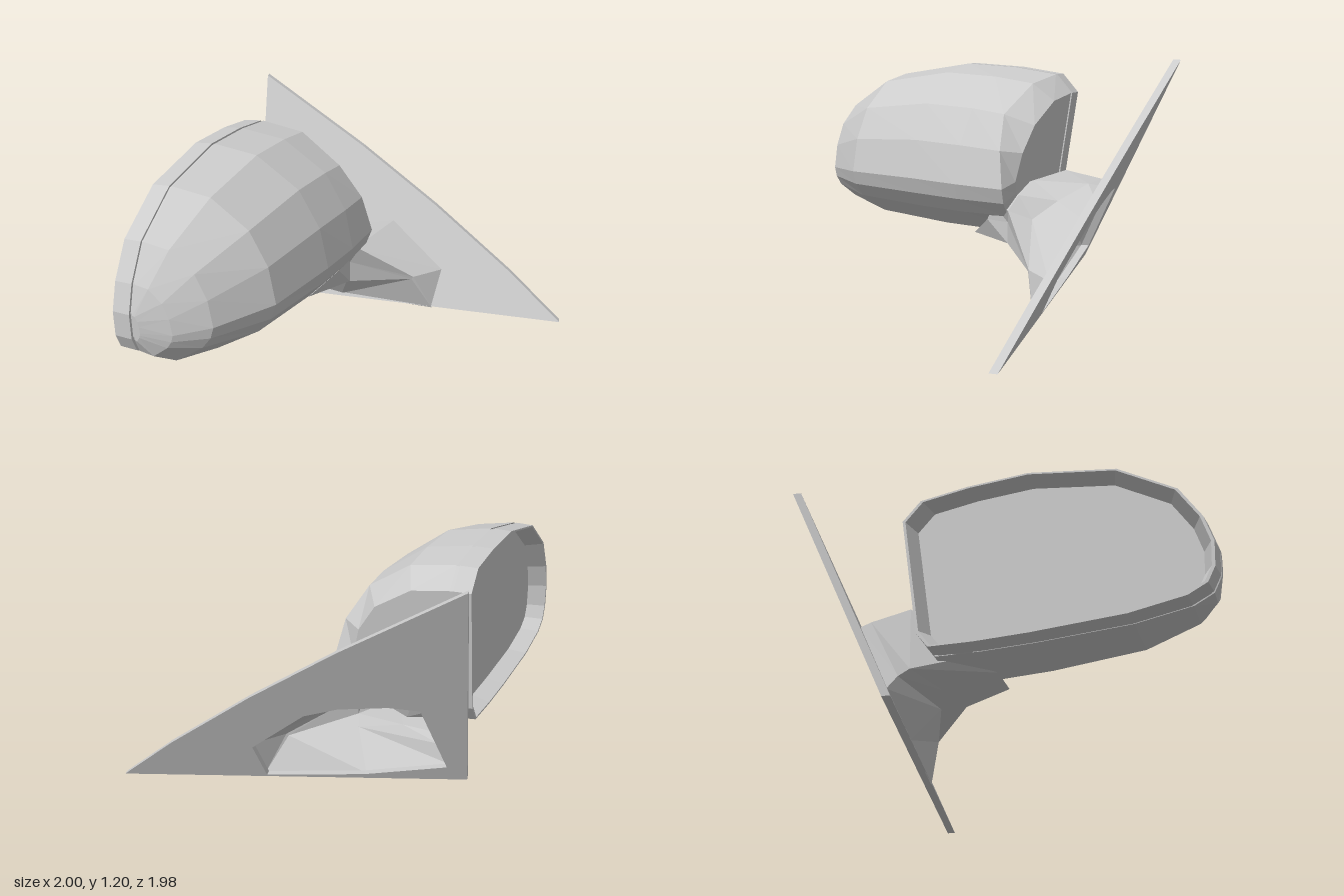
import * as THREE from 'three';

const material = new THREE.MeshStandardMaterial({ color: 0xcccccc, flatShading: true, side: THREE.DoubleSide });
const lerp = THREE.MathUtils.lerp;

// Skin a list of equal-length rings of [x, y, z] points.
function loft(name, rings, closed) {
  const pos = [];
  for (let i = 0; i + 1 < rings.length; i++) {
    const p = rings[i], q = rings[i + 1], n = p.length;
    for (let j = 0; j < (closed ? n : n - 1); j++) {
      const k = (j + 1) % n;
      pos.push(...p[j], ...p[k], ...q[k], ...p[j], ...q[k], ...q[j]);
    }
  }
  const geo = new THREE.BufferGeometry();
  geo.setAttribute('position', new THREE.Float32BufferAttribute(pos, 3));
  geo.computeVertexNormals();
  const mesh = new THREE.Mesh(geo, material);
  mesh.name = name;
  return mesh;
}

// Housing stations: top u, top y, bottom u, bottom y, depth, lean of the front edge.
const STATIONS = [
  [-0.73, 1.02, -0.64, 0.42, 0.59, 0],
  [-0.64, 1.115, -0.58, 0.34, 0.695, -0.05],
  [-0.4, 1.142, -0.36, 0.33, 0.695, 0],
  [-0.1, 1.15, -0.1, 0.33, 0.675, 0],
  [0.32, 1.075, 0.34, 0.345, 0.6, 0],
  [0.59, 0.91, 0.6, 0.385, 0.42, 0],
  [0.69, 0.75, 0.69, 0.43, 0.27, 0],
  [0.73, 0.62, 0.725, 0.5, 0.13, 0],
];

// Section of the shell from bottom to top: depth share, height share, lean share.
const PROFILE = [[0, 0, 0], [0.4, -0.045, 0.4], [0.82, 0.12, 0.8], [0.95, 0.22, 1], [1, 0.32, 1],
  [0.93, 0.56, 0], [0.75, 0.78, -1], [0.38, 0.96, -0.3], [0, 1, 0]];

function housingShell() {
  const rings = STATIONS.map(([uT, yT, uB, yB, w, lean]) => PROFILE.map(([f, h, l]) =>
    [0.1 + (w - 0.1) * f, lerp(yB, yT, h), lerp(uB, uT, h) + lean * l]));
  // Close both ends with a fan from the middle of the open edge.
  const middle = (ring) => {
    const a = ring[0], b = ring[ring.length - 1];
    return ring.map(() => a.map((v, i) => (v + b[i]) / 2));
  };
  return loft('housingShell', [middle(rings[0]), ...rings, middle(rings[rings.length - 1])], false);
}

// Rim outline scaled about its centre, at depth w.
function rimRing(w, scale, shift = 0) {
  const outline = [...STATIONS.map((s) => [s[0], s[1]]),
    ...STATIONS.map((s) => [s[2], s[3]]).reverse()];
  return outline.map(([u, y]) => [w, 0.72 + (y - 0.72) * scale, u * scale + shift]);
}

// Plane of the mounting plate: z of its front face.
const plateZ = (x, y) => -0.412 - 0.449 * y - 0.0256 * (x + 0.68);

const FOOT = [[0.3, 0.045], [0.35, 0.24], [0.07, 0.48], [-0.1, 0.54], [-0.34, 0.57],
  [-0.49, 0.56], [-0.61, 0.19], [-0.2, 0.1]];

function mountingPlate() {
  const shape = new THREE.Shape([[-0.68, 1.2], [-0.68, 0.125], [1, 0], [0.72, 0.24], [0.3, 0.56], [-0.12, 0.85]]
    .map(([x, y]) => new THREE.Vector2(x, y)));
  // Opening behind the hollow foot
  shape.holes.push(new THREE.Path(FOOT.map(([x, y]) =>
    new THREE.Vector2(-0.13 + (x + 0.13) * 0.95, 0.3 + (y - 0.3) * 0.93))));
  const geo = new THREE.ExtrudeGeometry(shape, { depth: 0.04, bevelEnabled: false });
  const p = geo.attributes.position;
  for (let i = 0; i < p.count; i++) p.setZ(i, p.getZ(i) - 0.04 + plateZ(p.getX(i), p.getY(i)));
  geo.computeVertexNormals();
  const mesh = new THREE.Mesh(geo, material);
  mesh.name = 'mountingPlate';
  return mesh;
}

function supportArm() {
  const foot = FOOT.map(([x, y]) => [x, y, plateZ(x, y) - 0.005]);
  const neck = [[0.19, 0.235, -0.41], [0.2, 0.245, -0.415], [-0.11, 0.425, -0.35], [-0.2, 0.51, -0.46],
    [-0.32, 0.585, -0.59], [-0.49, 0.585, -0.62], [-0.54, 0.28, -0.47], [-0.14, 0.275, -0.34]];
  const head = [[-0.12, 0.29, -0.22], [-0.12, 0.4, -0.22], [-0.07, 0.47, -0.235], [-0.14, 0.54, -0.27],
    [-0.25, 0.6, -0.32], [-0.55, 0.61, -0.42], [-0.57, 0.3, -0.41], [-0.35, 0.285, -0.3]];
  // Root blended into the underside of the housing
  const root = [[-0.3, 0.295, 0.01], [-0.16, 0.4, -0.1], [-0.14, 0.48, -0.14], [-0.2, 0.52, -0.17],
    [-0.3, 0.55, -0.2], [-0.5, 0.55, -0.3], [-0.56, 0.34, -0.2], [-0.48, 0.3, -0.02]];
  return loft('supportArm', [foot, neck, head, root], true);
}

export function createModel() {
  const model = new THREE.Group();
  model.name = 'wingMirror';

  // Mirror head: local x is depth from the glass side, local z runs outboard.
  const head = new THREE.Group();
  head.name = 'mirrorHead';
  head.position.set(-0.83, 0, 0.25);
  head.rotation.y = -0.235;
  head.add(housingShell());

  // Rim with steep inner lip, outer wall and shadow groove
  const glassEdge = rimRing(0.09, 0.92, -0.01);
  head.add(loft('rim', [glassEdge, rimRing(0, 0.97), rimRing(0, 0.99),
    rimRing(0.085, 1), rimRing(0.085, 0.98), rimRing(0.11, 0.98)], true));

  // Flat recessed mirror glass
  head.add(loft('mirrorGlass', [glassEdge.map(() => [0.09, 0.72, -0.01]), glassEdge], true));

  model.add(head, mountingPlate(), supportArm());
  return model;
}
